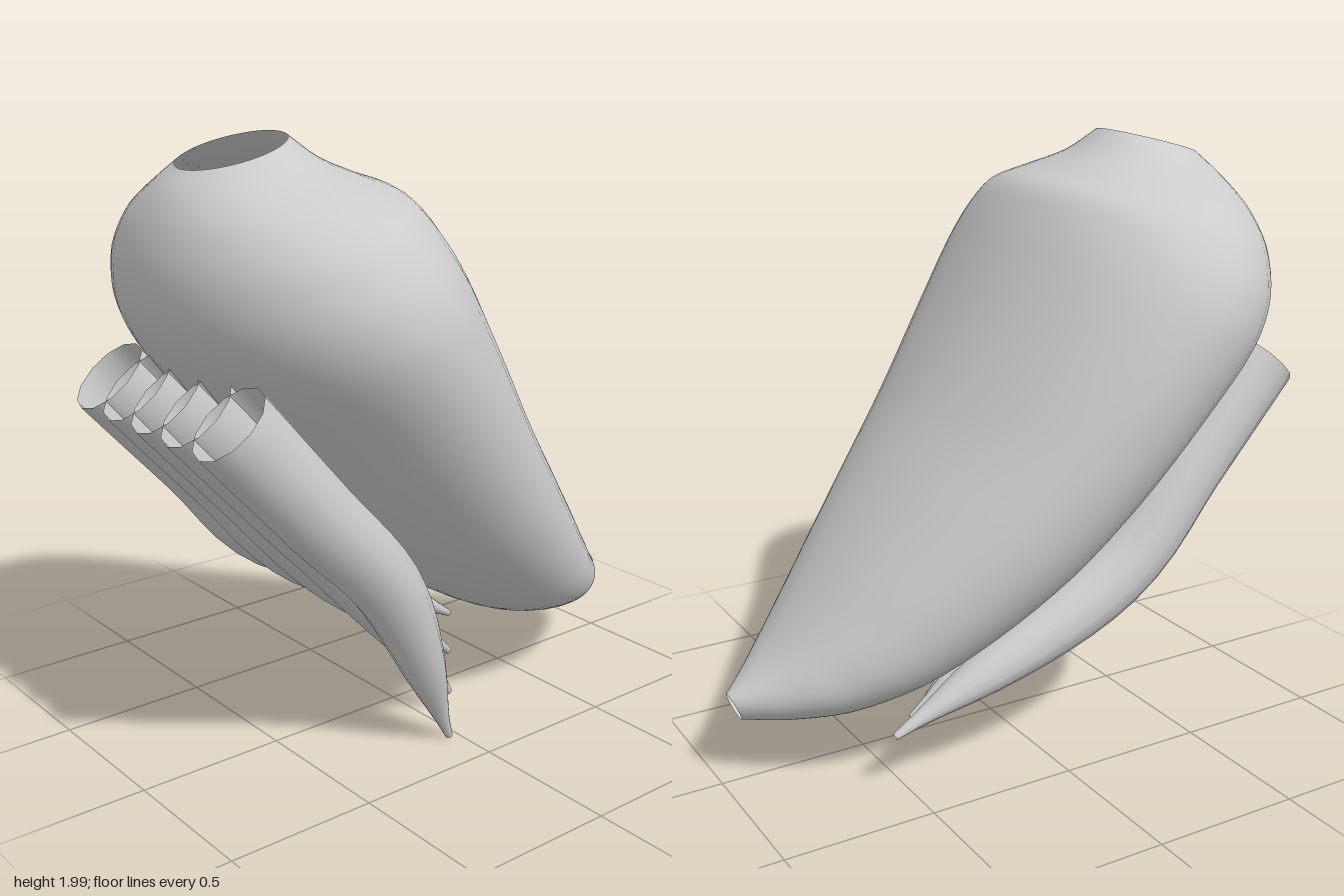
import * as THREE from 'three';

const material = new THREE.MeshStandardMaterial({ color: 0xcccccc, side: THREE.DoubleSide });

// Open skin over elliptical rings: each has a centre, a half width along x and a forward half axis
function loft(name, rings, sides) {
  const positions = [], index = [];
  rings.forEach(({ center, width, forward }, i) => {
    for (let j = 0; j < sides; j++) {
      const a = (j / sides) * Math.PI * 2;
      const p = center.clone().addScaledVector(forward, Math.sin(a));
      positions.push(p.x + Math.cos(a) * width, p.y, p.z);
      if (i === rings.length - 1) continue;
      const k = (j + 1) % sides, r = i * sides, s = r + sides;
      index.push(r + j, r + k, s + j, r + k, s + k, s + j);
    }
  });
  const geometry = new THREE.BufferGeometry();
  geometry.setAttribute('position', new THREE.Float32BufferAttribute(positions, 3));
  geometry.setIndex(index);
  geometry.computeVertexNormals();
  const mesh = new THREE.Mesh(geometry, material);
  mesh.name = name;
  return mesh;
}

// Body stations from neck to tail: front z, front y, back z, back y, half width
const stations = [
  [0.77, 1.91, 0.44, 2.0, 0.17],
  [0.825, 1.85, 0.35, 1.93, 0.28],
  [0.872, 1.75, 0.24, 1.88, 0.45],
  [0.895, 1.61, 0.14, 1.84, 0.59],
  [0.87, 1.45, 0.07, 1.745, 0.68],
  [0.79, 1.3, 0.0, 1.62, 0.715],
  [0.6, 1.08, -0.12, 1.4, 0.697],
  [0.38, 0.83, -0.27, 1.15, 0.645],
  [0.15, 0.6, -0.42, 0.94, 0.575],
  [-0.1, 0.415, -0.58, 0.725, 0.48],
  [-0.35, 0.28, -0.72, 0.54, 0.375],
  [-0.6, 0.213, -0.82, 0.425, 0.26],
  [-0.8, 0.205, -0.9, 0.355, 0.14],
  [-0.93, 0.22, -0.965, 0.31, 0.045],
];

function createBody() {
  const curve = (fn) => new THREE.CatmullRomCurve3(stations.map(fn));
  const front = curve((s) => new THREE.Vector3(0, s[1], s[0]));
  const back = curve((s) => new THREE.Vector3(0, s[3], s[2]));
  const width = curve((s, i) => new THREE.Vector3(s[4], i * 0.1, 0));
  const rings = [];
  for (let i = 0; i <= 52; i++) {
    const f = front.getPoint(i / 52), b = back.getPoint(i / 52);
    rings.push({
      center: f.clone().add(b).multiplyScalar(0.5),
      forward: f.clone().sub(b).multiplyScalar(0.5),
      width: width.getPoint(i / 52).x,
    });
  }
  return loft('body', rings, 48);
}

// Tentacle: half width (x) and half depth (y) along its length
const girth = new THREE.SplineCurve([
  [0.112, 0.133], [0.12, 0.128], [0.124, 0.122], [0.115, 0.108], [0.08, 0.07], [0.012, 0.012],
].map(([x, y]) => new THREE.Vector2(x, y)));

function createTentacle(k) {
  const x = 0.34 - 0.17 * k;
  const path = new THREE.CatmullRomCurve3([
    [1.25, 0.86], [0.92, 0.57], [0.6, 0.29], [0.01 + 0.049 * k, 0.035 - 0.146 * k],
  ].map(([y, z]) => new THREE.Vector3(x, y, z)));
  const rings = [];
  for (let i = 0; i <= 20; i++) {
    const t = i / 20, tangent = path.getTangentAt(t), g = girth.getPoint(t);
    rings.push({
      center: path.getPointAt(t),
      forward: new THREE.Vector3(0, tangent.z, -tangent.y).multiplyScalar(g.y),
      width: g.x,
    });
  }
  return loft('tentacle' + (k + 1), rings, 12);
}

export function createModel() {
  const model = new THREE.Group();
  model.name = 'openVessel';
  model.add(createBody());

  // Row of five, each sweeping further back than the last
  const tentacles = new THREE.Group();
  tentacles.name = 'tentacles';
  for (let k = 0; k < 5; k++) tentacles.add(createTentacle(k));
  model.add(tentacles);
  return model;
}
